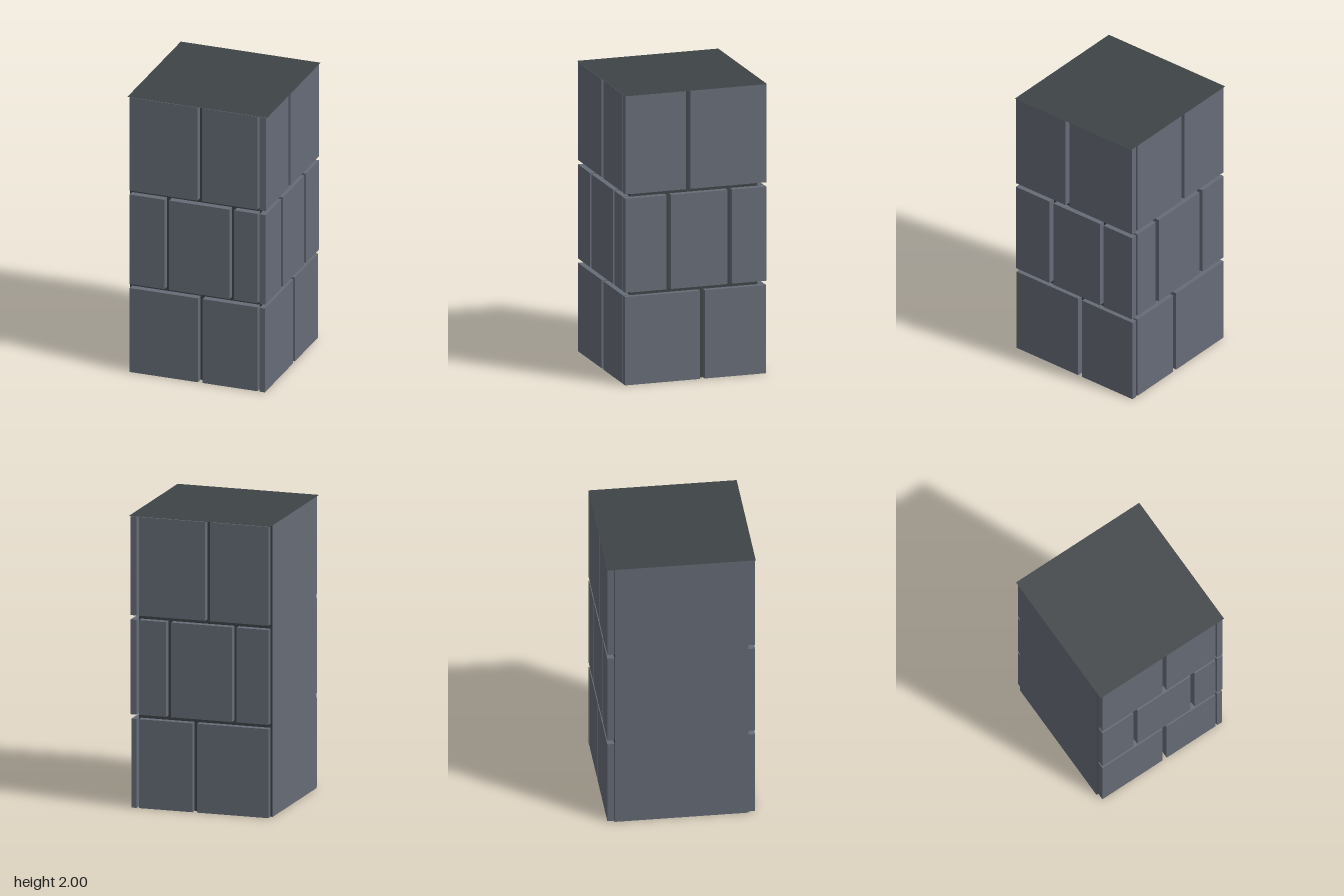
import * as THREE from 'three';

export function createModel() {
  const stone = new THREE.MeshStandardMaterial({ color: 0x666c77, side: THREE.DoubleSide });
  stone.name = 'grey stone';
  const mortar = new THREE.MeshStandardMaterial({ color: 0x3e4346, side: THREE.DoubleSide });
  mortar.name = 'dark mortar';

  const model = new THREE.Group();
  model.name = 'brickPillar';

  // Hollow core, open underneath: four thin walls
  const X0 = -0.5, X1 = 0.445, Z = 0.45, H = 2;
  const midX = (X0 + X1) / 2;
  const wall = (name, material, width, x, z, turn) => {
    const mesh = new THREE.Mesh(new THREE.PlaneGeometry(width, H), material);
    mesh.name = name;
    mesh.position.set(x, H / 2, z);
    mesh.rotation.y = turn;
    model.add(mesh);
  };
  wall('coreFront', mortar, X1 - X0, midX, Z, 0);
  wall('coreBack', mortar, X1 - X0, midX, -Z, Math.PI);
  wall('coreLeft', mortar, 2 * Z, X1, 0, Math.PI / 2);
  wall('plainSidePanel', stone, 2 * Z, X0, 0, -Math.PI / 2);

  // Thin square lid overhanging the core
  const lid = new THREE.Mesh(new THREE.PlaneGeometry(1, 1), mortar);
  lid.name = 'lid';
  lid.rotation.x = -Math.PI / 2;
  lid.position.y = H;
  model.add(lid);

  // Three courses of blocks, bottom to top
  const rows = [[0, 0.61], [0.64, 1.29], [1.32, 1.997]];
  const half = 0.0165; // half of an upright joint

  // Lays one face: from..to is its run, joints holds the joint centres of each row
  const layFace = (name, from, to, joints, place) => {
    const face = new THREE.Group();
    face.name = name;
    rows.forEach(([y0, y1], r) => {
      const cuts = joints[r];
      for (let i = 0; i <= cuts.length; i++) {
        const a = i === 0 ? from : cuts[i - 1] + half;
        const b = i === cuts.length ? to : cuts[i] - half;
        const [x0, x1, z0, z1] = place(a, b, r);
        const block = new THREE.Mesh(new THREE.BoxGeometry(x1 - x0, y1 - y0, z1 - z0), stone);
        block.name = 'block';
        block.position.set((x0 + x1) / 2, (y0 + y1) / 2, (z0 + z1) / 2);
        face.add(block);
      }
    });
    model.add(face);
  };

  const sideDepth = [0.483, 0.489, 0.49];
  layFace('frontBlocks', -0.485, 0.43, [[0.02], [-0.218, 0.247], [0.018]],
    (a, b) => [a, b, Z, 0.498]);
  layFace('backBlocks', -0.485, 0.43, [[0.035], [-0.245, 0.22], [-0.055]],
    (a, b) => [a, b, -0.498, -Z]);
  layFace('leftBlocks', -0.499, 0.499, [[-0.048], [-0.239, 0.192], [0.054]],
    (a, b, r) => [X1, sideDepth[r], a, b]);

  return model;
}
